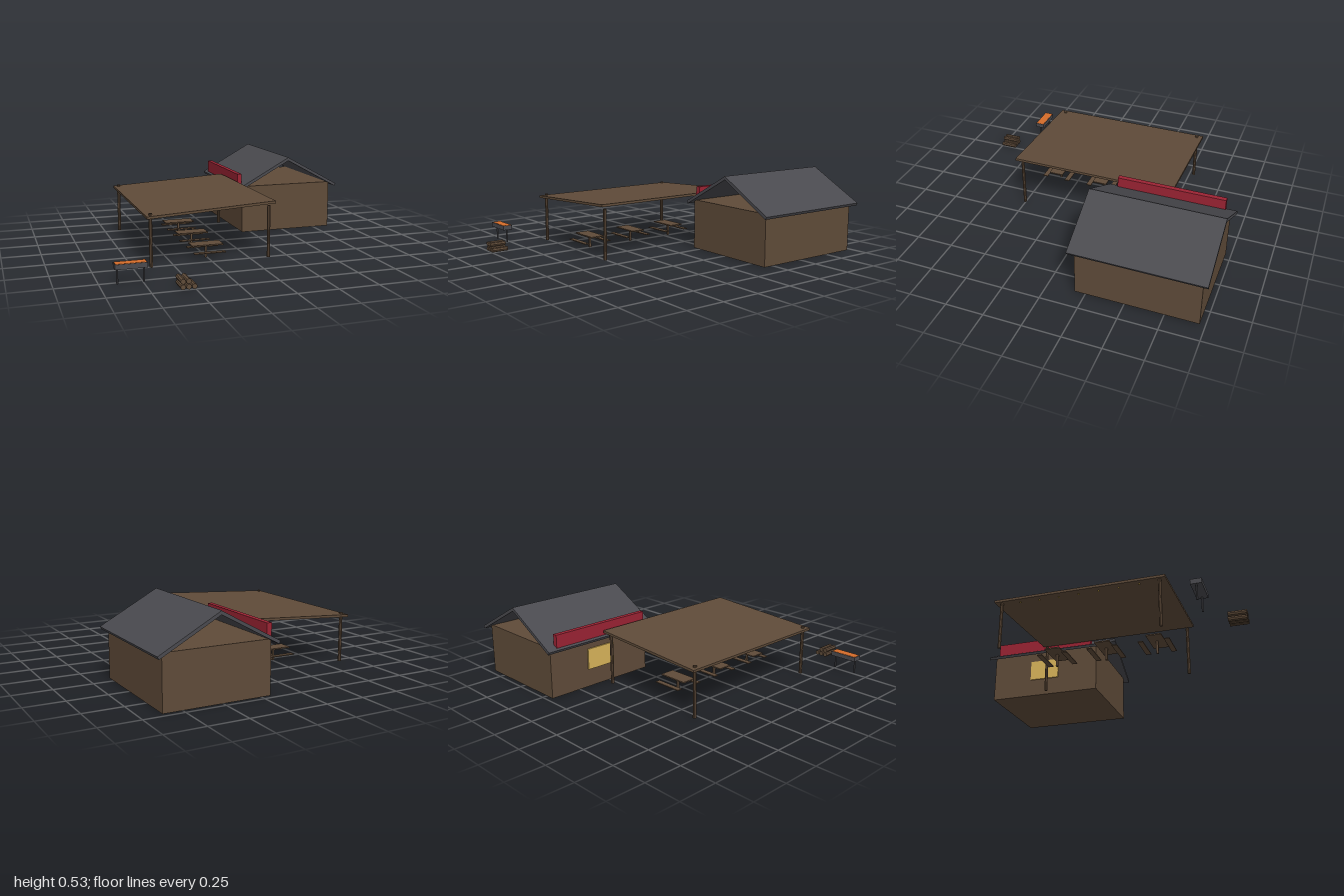
import * as THREE from 'three';

export function createModel() {
  const root = new THREE.Group();
  const material = (name, color) => {
    const m = new THREE.MeshStandardMaterial({ color });
    m.name = name;
    return m;
  };
  const wood = material('brown wood', 0x5f4b39);
  const slate = material('dark slate', 0x4a4a4f);
  const red = material('red paint', 0x9b2333);
  const orange = material('glowing orange', 0xd46c2a);
  const amber = material('amber light', 0xd9b45a);

  const add = (name, geometry, mat, x, y, z, parent = root) => {
    const mesh = new THREE.Mesh(geometry, mat);
    mesh.name = name;
    mesh.position.set(x, y, z);
    parent.add(mesh);
    return mesh;
  };
  const box = (name, w, h, d, mat, x, y, z, parent) =>
    add(name, new THREE.BoxGeometry(w, h, d), mat, x, y, z, parent);
  // Faceted upright pole standing on the ground
  const pole = (name, r, h, mat, x, z, parent) => {
    const g = new THREE.CylinderGeometry(r, r, h, 8).toNonIndexed();
    g.computeVertexNormals();
    return add(name, g, mat, x, h / 2, z, parent);
  };
  // Slab spanning two points in the xy plane, extended along z
  const slab = (name, x1, y1, x2, y2, thick, depth, mat, z, parent) => {
    const m = box(name, Math.hypot(x2 - x1, y2 - y1), thick, depth, mat,
      (x1 + x2) / 2, (y1 + y2) / 2, z, parent);
    m.rotation.z = Math.atan2(y2 - y1, x2 - x1);
    return m;
  };
  const group = (name) => {
    const g = new THREE.Group();
    g.name = name;
    root.add(g);
    return g;
  };

  // House with an open-gabled roof, serving window and sign board
  const house = group('house');
  box('houseWalls', 0.68, 0.335, 0.785, wood, 0.53, 0.1675, -0.5725, house);
  slab('roofRightSlope', 0.154, 0.317, 0.536, 0.526, 0.02, 0.855, slate, -0.5725, house);
  slab('roofLeftSlope', 0.524, 0.526, 0.906, 0.317, 0.02, 0.855, slate, -0.5725, house);
  box('signBoard', 0.032, 0.09, 0.715, red, 0.181, 0.375, -0.5725, house);
  box('servingWindow', 0.009, 0.14, 0.21, amber, 0.1855, 0.19, -0.5725, house);

  // Sloping canopy on four posts
  const canopy = group('canopy');
  slab('canopyRoof', -0.67, 0.315, 0.154, 0.362, 0.016, 1.115, wood, -0.0125, canopy);
  for (const x of [-0.64, 0.123])
    for (const z of [-0.53, 0.505]) pole('canopyPost', 0.011, 0.335, wood, x, z, canopy);

  // Row of small bulbs under the low edge
  for (let k = -3; k <= 3; k++)
    add('bulb', new THREE.SphereGeometry(0.006, 8, 6), amber,
      -0.64, 0.293 + 0.0007 * k * k, -0.0125 + k * 0.13, canopy);

  // Three picnic tables with a bench on either side
  for (const z of [0.385, 0.045, -0.295]) {
    const table = group('picnicTable');
    table.position.set(-0.257, 0, z);
    box('tableTop', 0.205, 0.008, 0.1, wood, 0, 0.088, 0, table);
    box('tableStem', 0.014, 0.085, 0.014, wood, 0, 0.0425, 0, table);
    for (const s of [-1, 1])
      box('bench', 0.205, 0.006, 0.034, wood, 0, 0.051, s * 0.085, table);
  }

  // Grill with glowing coals
  const grill = group('grill');
  box('grillBody', 0.188, 0.03, 0.066, slate, -0.82, 0.106, 0.773, grill);
  box('coals', 0.18, 0.004, 0.058, orange, -0.82, 0.121, 0.773, grill);
  for (const s of [-1, 1]) pole('grillLeg', 0.006, 0.092, slate, -0.82 + s * 0.077, 0.773, grill);

  // Stack of logs, three below and two above
  const logs = group('logPile');
  for (const [x, y] of [[-0.573, 0.016], [-0.54, 0.016], [-0.507, 0.016], [-0.573, 0.048], [-0.54, 0.048]]) {
    const g = new THREE.CylinderGeometry(0.0155, 0.0155, 0.112, 8).toNonIndexed();
    g.computeVertexNormals();
    add('log', g, wood, x, y, 0.943, logs).rotation.x = Math.PI / 2;
  }

  return root;
}
